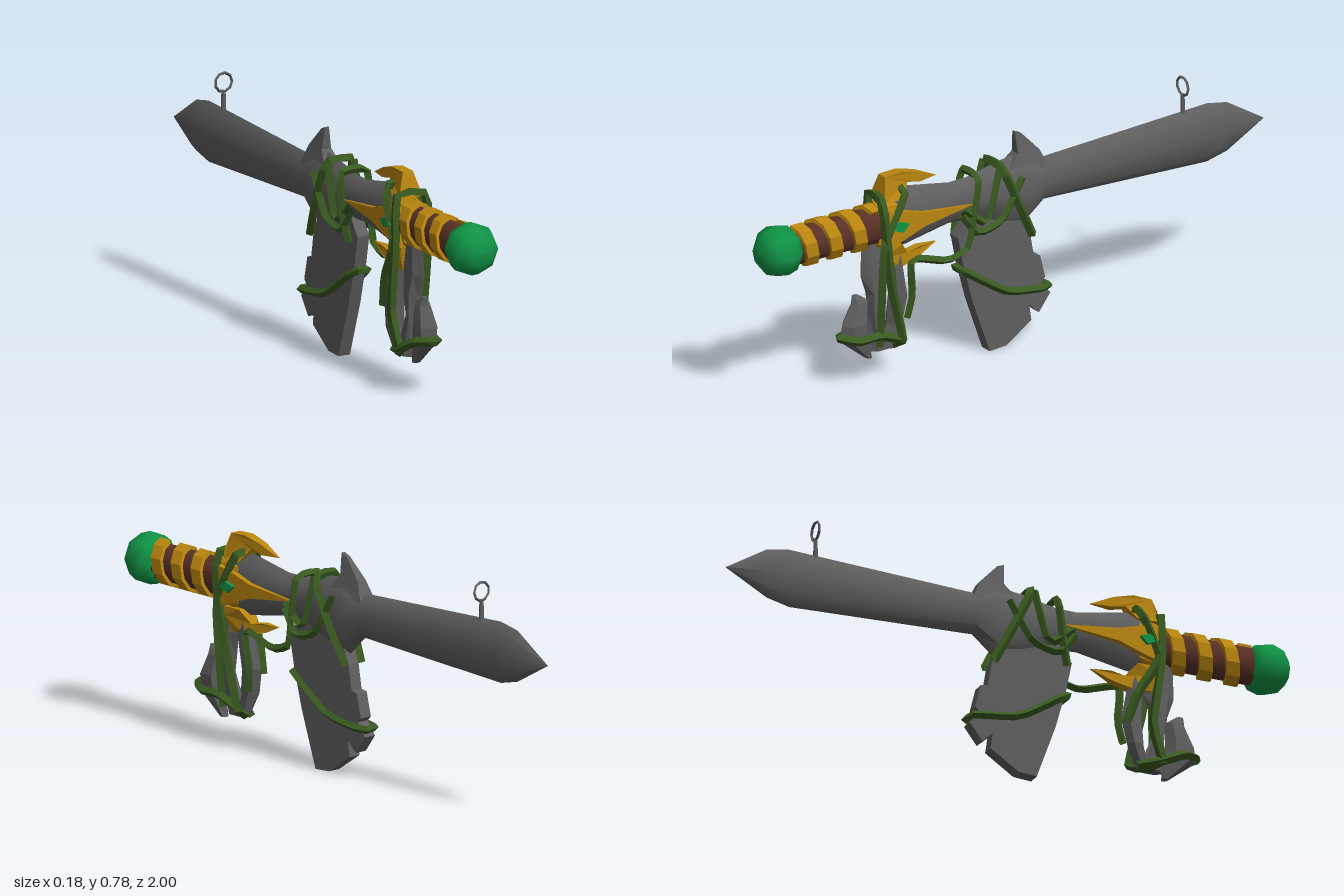
import * as THREE from 'three';
import { toCreasedNormals, mergeVertices } from 'three/addons/utils/BufferGeometryUtils.js';

const mat = (name, color, extra = {}) => Object.assign(new THREE.MeshStandardMaterial({ color, ...extra }), { name });

// Loft of elliptical rings. Section: [t, centreU, halfU, centreV, halfV]
// along z: u = x, v = y; along y: u = z, v = x
function loft(sections, sides, axis, crease) {
  const pos = [], idx = [];
  const put = (u, v, t) => axis === 'z' ? pos.push(u, v, t) : pos.push(v, t, u);
  for (const [t, cu, hu, cv, hv] of sections)
    for (let j = 0; j < sides; j++) {
      const a = j / sides * Math.PI * 2;
      put(cu + hu * Math.cos(a), cv + hv * Math.sin(a), t);
    }
  const last = sections.length - 1;
  for (let i = 0; i < last; i++)
    for (let j = 0; j < sides; j++) {
      const k = (j + 1) % sides, a = i * sides + j, b = i * sides + k;
      idx.push(a, b, a + sides, b, b + sides, a + sides);
    }
  for (let j = 1; j < sides - 1; j++) {
    idx.push(0, j + 1, j);
    idx.push(last * sides, last * sides + j, last * sides + j + 1);
  }
  const g = new THREE.BufferGeometry();
  g.setAttribute('position', new THREE.Float32BufferAttribute(pos, 3));
  g.setIndex(idx);
  return toCreasedNormals(g, crease);
}

// Plate from a (z, y) outline; half(z, y) gives its half thickness in x
function plate(points, half, x = 0) {
  const shape = new THREE.Shape(points.map(([z, y]) => new THREE.Vector2(z, y)));
  const g = new THREE.ExtrudeGeometry(shape, { depth: 2, bevelEnabled: false });
  g.translate(0, 0, -1).rotateY(-Math.PI / 2);
  const p = g.attributes.position;
  for (let i = 0; i < p.count; i++) p.setX(i, x + p.getX(i) * half(p.getZ(i), p.getY(i)));
  return toCreasedNormals(g, 0.2);
}

// Angular rope through a few points
function rope(points, closed = false, radius = 0.016) {
  const curve = new THREE.CatmullRomCurve3(points.map(p => new THREE.Vector3(...p)), closed, 'catmullrom', 0.25);
  const g = new THREE.TubeGeometry(curve, points.length * 3, radius, 4, closed);
  return toCreasedNormals(g, 0.2);
}

// Flat band wound round the handle
function helixBand(zStart, pitch, turns) {
  const pos = [], idx = [], steps = Math.round(turns * 10);
  const section = [[0.05, 0.03], [0.078, 0.023], [0.078, -0.023], [0.05, -0.03]];
  for (let i = 0; i <= steps; i++) {
    const a = i / 10 * Math.PI * 2, z = zStart - pitch * i / 10;
    for (const [r, dz] of section) pos.push(r * Math.sin(a) * 0.82, 0.55 + r * Math.cos(a), z + dz);
  }
  for (let i = 0; i < steps; i++)
    for (let j = 0; j < 4; j++) {
      const a = i * 4 + j, b = i * 4 + (j + 1) % 4;
      idx.push(a, b, a + 4, b, b + 4, a + 4);
    }
  idx.push(0, 2, 1, 0, 3, 2);
  const e = steps * 4;
  idx.push(e, e + 1, e + 2, e, e + 2, e + 3);
  const g = new THREE.BufferGeometry();
  g.setAttribute('position', new THREE.Float32BufferAttribute(pos, 3));
  g.setIndex(idx);
  return toCreasedNormals(g, 0.2);
}

export function createModel() {
  const model = new THREE.Group();
  const steel = mat('steel', 0x5e5e5e);
  const gold = mat('gold', 0xb9850f, { side: THREE.DoubleSide });
  const leather = mat('brown leather', 0x5a3026);
  const vine = mat('vine green', 0x3a5a20, { side: THREE.DoubleSide });
  const gem = mat('gem green', 0x109445);
  const add = (name, geo, material) => {
    const m = new THREE.Mesh(geo, material);
    m.name = name;
    model.add(m);
    return m;
  };

  // Long blade running into the body
  add('blade', loft([
    [-1, 0, 0.001, 0.55, 0.001], [-0.855, 0, 0.029, 0.555, 0.086], [-0.775, 0, 0.035, 0.553, 0.103],
    [-0.117, 0, 0.042, 0.552, 0.075], [-0.04, 0, 0.045, 0.535, 0.13], [0.05, 0, 0.045, 0.54, 0.115],
    [0.18, 0, 0.041, 0.553, 0.075], [0.25, 0, 0.042, 0.555, 0.072],
    [0.43, 0, 0.046, 0.555, 0.105], [0.5, 0, 0.045, 0.55, 0.09],
  ], 8, 'z', 0.8), steel);
  add('bladeSpike', plate([[0.03, 0.62], [-0.015, 0.67], [-0.01, 0.745], [-0.035, 0.735], [-0.1, 0.665], [-0.13, 0.6]],
    (z, y) => y > 0.72 ? 0.007 : y > 0.64 ? 0.018 : 0.032), steel);

  // Sight ring on a post
  const post = add('sightPost', new THREE.CylinderGeometry(0.007, 0.009, 0.075, 6), steel);
  post.position.set(0, 0.675, -0.68);
  const ring = add('sightRing', toCreasedNormals(new THREE.TorusGeometry(0.032, 0.005, 4, 9), 0.2), steel);
  ring.position.set(0, 0.74, -0.68);

  // Broken slab below the body
  add('magazine', plate([
    [0.225, 0.43], [0.205, 0.33], [0.167, 0.19], [0.1, 0], [0.035, 0.004], [-0.065, 0.07], [-0.057, 0.125],
    [-0.095, 0.09], [-0.14, 0.15], [-0.105, 0.195], [-0.12, 0.21], [-0.1, 0.29], [-0.075, 0.295],
    [-0.06, 0.38], [-0.02, 0.47], [0.17, 0.5],
  ], () => 0.022), steel);

  // Grip shards
  add('gripRear', loft([
    [0.1, 0.51, 0.045, -0.01, 0.022], [0.24, 0.545, 0.02, 0, 0.025], [0.31, 0.545, 0.03, 0, 0.03],
    [0.38, 0.545, 0.055, 0.005, 0.027], [0.5, 0.54, 0.055, 0, 0.02],
  ], 6, 'y', 0.2), steel);
  add('gripFront', loft([
    [0.1, 0.485, 0.025, -0.01, 0.02], [0.18, 0.455, 0.03, -0.015, 0.03], [0.27, 0.443, 0.037, -0.01, 0.032],
    [0.38, 0.46, 0.03, 0, 0.028], [0.48, 0.48, 0.04, 0, 0.02],
  ], 6, 'y', 0.2), steel);
  add('gripToe', loft([
    [0.085, 0.565, 0.012, 0, 0.014], [0.165, 0.62, 0.057, 0, 0.034], [0.22, 0.62, 0.052, 0.002, 0.036],
    [0.29, 0.603, 0.034, 0.002, 0.022], [0.318, 0.62, 0.012, 0, 0.008],
  ], 6, 'y', 0.2), steel);

  // Wrapped handle and pommel
  const handle = add('handle', new THREE.CylinderGeometry(0.065, 0.065, 0.38, 10), leather);
  handle.rotation.x = Math.PI / 2;
  handle.scale.x = 0.83;
  handle.position.set(0, 0.55, 0.71);
  add('handleWrap', helixBand(0.852, 0.096, 3.1), gold);
  const profile = [[0, -0.07], [0.055, -0.068], [0.08, -0.045], [0.09, -0.005], [0.075, 0.038], [0.045, 0.064], [0, 0.07]];
  const pommelGeo = new THREE.LatheGeometry(profile.map(([r, y]) => new THREE.Vector2(r, y)), 8);
  const pommel = add('pommel', pommelGeo, gem);
  pommel.rotation.x = Math.PI / 2;
  pommel.position.set(0, 0.55, 0.93);

  // Gold guard: collar, upper and lower horns, side prongs with gems
  add('guardCollar', loft([
    [0.46, 0, 0.052, 0.55, 0.085], [0.5, 0, 0.056, 0.55, 0.1], [0.55, 0, 0.05, 0.55, 0.085],
  ], 8, 'z', 0.2), gold);
  const horn = [[0.53, 0.63], [0.525, 0.66], [0.512, 0.715], [0.445, 0.718], [0.375, 0.7], [0.3, 0.667],
    [0.37, 0.665], [0.42, 0.675], [0.455, 0.63]];
  const hornHalf = (z, y) => z < 0.32 ? 0.003 : z < 0.43 ? 0.014 : y > 0.69 ? 0.019 : 0.036;
  add('upperHorn', plate(horn, hornHalf), gold);
  add('lowerHorn', plate(horn.map(([z, y]) => [z, 1.1 - y]), (z, y) => hornHalf(z, 1.1 - y)), gold);
  for (const s of [1, -1]) {
    add('sideProng', plate([[0.54, 0.61], [0.46, 0.595], [0.38, 0.572], [0.18, 0.55], [0.38, 0.525], [0.45, 0.5], [0.54, 0.47]],
      z => z < 0.2 ? 0.003 : 0.013, s * 0.046), gold);
    add('sideGem', plate([[0.515, 0.545], [0.485, 0.565], [0.45, 0.553], [0.475, 0.528]], () => 0.009, s * 0.062), gem);
  }

  // Vines round the guard and grip
  add('guardVine', rope([
    [0.04, 0.13, 0.455], [0.048, 0.33, 0.505], [0.058, 0.48, 0.53], [0.05, 0.642, 0.545], [-0.05, 0.645, 0.53],
    [-0.058, 0.48, 0.53], [-0.056, 0.25, 0.5], [-0.045, 0.115, 0.54], [-0.01, 0.108, 0.47],
  ], true), vine);
  add('gripVine', rope([
    [0.03, 0.13, 0.54], [0.045, 0.3, 0.543], [0.058, 0.49, 0.54], [0.05, 0.655, 0.455], [-0.05, 0.655, 0.455],
    [-0.058, 0.49, 0.52], [-0.05, 0.36, 0.45], [-0.035, 0.25, 0.415],
  ]), vine);
  add('toeVine', rope([
    [0.035, 0.14, 0.47], [0.042, 0.17, 0.55], [0.042, 0.17, 0.63], [0, 0.182, 0.685], [-0.04, 0.17, 0.62],
    [-0.05, 0.125, 0.53], [-0.02, 0.11, 0.46],
  ]), vine);

  // Hanging vine that climbs to a loop on the body
  add('hangingVine', rope([
    [0.02, 0.2, 0.425], [0.03, 0.28, 0.412], [0.04, 0.41, 0.42], [0.045, 0.375, 0.285], [0.048, 0.4, 0.205],
    [0.052, 0.5, 0.185], [0.048, 0.635, 0.163], [-0.048, 0.635, 0.163], [-0.052, 0.5, 0.18], [-0.04, 0.41, 0.2],
  ], false, 0.014), vine);

  // Crossing vines on the body
  add('bodyVine', rope([
    [0.035, 0.38, -0.06], [0.05, 0.5, 0], [0.05, 0.65, 0.07], [-0.05, 0.65, 0.07], [-0.05, 0.5, 0], [-0.035, 0.38, -0.06],
  ]), vine);
  for (const s of [1, -1]) {
    add('sideVine', rope([[s * 0.048, 0.65, 0.08], [s * 0.052, 0.475, 0.13], [s * 0.044, 0.54, 0.22]], false, 0.014), vine);
    add('sideVine', rope([[s * 0.044, 0.52, 0.225], [s * 0.05, 0.445, 0.165], [s * 0.052, 0.47, 0.07], [s * 0.05, 0.6, -0.01]], false, 0.014), vine);
  }

  // Vine round the slab
  add('magazineVine', rope([
    [0.028, 0.31, 0.205], [0.032, 0.2, 0.035], [0.03, 0.175, -0.13], [-0.03, 0.175, -0.13], [-0.032, 0.2, 0.035],
    [-0.028, 0.31, 0.205],
  ], true, 0.014), vine);
  return model;
}
